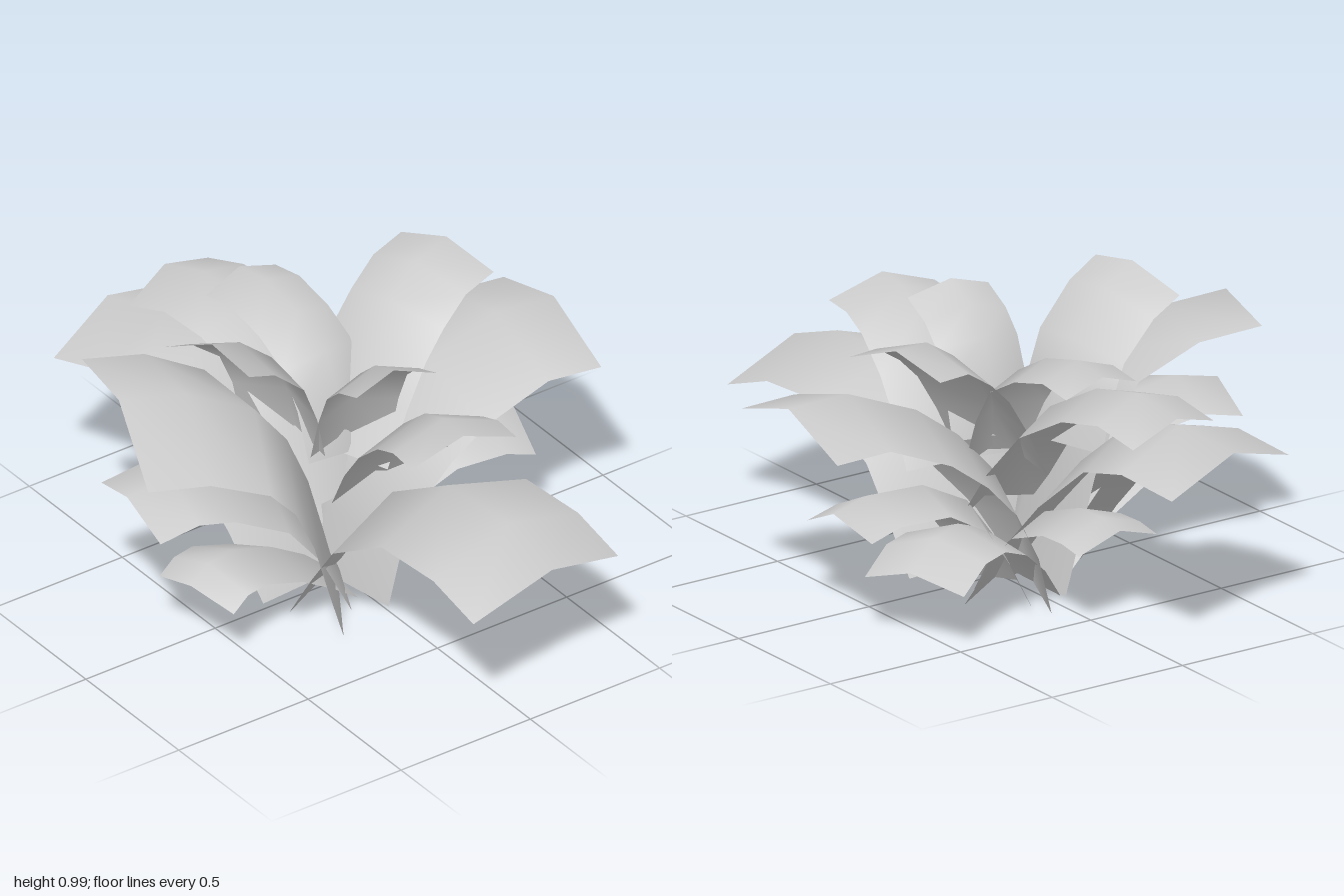
import * as THREE from 'three';

const material = new THREE.MeshStandardMaterial({ color: 0xcccccc, side: THREE.DoubleSide });

// Arching leaf: a bent strip with a raised midrib.
// angle: heading in degrees from +z towards +x; side: sideways shift; half: half width;
// roll: sideways lean; rib: midrib points [distance from the centre, height], base to tip
function makeLeaf(name, angle, side, half, roll, rib) {
  const fold = 0.06 + 0.3 * (half - 0.18);
  const positions = [];
  const index = [];
  rib.forEach(([r, y], i) => {
    const [ra, ya] = rib[Math.max(0, i - 1)];
    const [rb, yb] = rib[Math.min(rib.length - 1, i + 1)];
    const tangent = new THREE.Vector2(rb - ra, yb - ya).normalize();
    for (const s of [-1, 0, 1]) {
      // the two edges hang below the midrib
      const drop = s === 0 ? 0 : fold;
      const height = y - tangent.x * drop + s * roll * tangent.x;
      positions.push(side + s * half, Math.max(0.005, height), r + tangent.y * drop);
    }
    if (i < rib.length - 1) {
      for (const a of [i * 3, i * 3 + 1]) index.push(a, a + 3, a + 1, a + 1, a + 3, a + 4);
    }
  });
  const geometry = new THREE.BufferGeometry();
  geometry.setAttribute('position', new THREE.Float32BufferAttribute(positions, 3));
  geometry.setIndex(index);
  geometry.computeVertexNormals();
  const leaf = new THREE.Mesh(geometry, material);
  leaf.name = name;
  leaf.rotation.y = THREE.MathUtils.degToRad(angle);
  return leaf;
}

export function createModel() {
  const group = new THREE.Group();
  group.name = 'leafyPlant';
  const add = (...leaf) => group.add(makeLeaf(...leaf));

  // front
  add('frontLargeLeaf', 5, 0, 0.3, 0,
    [[0, 0.09], [0.11, 0.27], [0.23, 0.44], [0.5, 0.6], [0.79, 0.6], [1, 0.53]]);
  add('frontMiddleLeaf', -6, 0.09, 0.19, 0,
    [[0.04, 0.4], [0.12, 0.55], [0.22, 0.68], [0.35, 0.79], [0.47, 0.84], [0.595, 0.845]]);
  add('frontTopLeaf', -6, 0.03, 0.145, 0,
    [[-0.06, 0.5], [-0.01, 0.66], [0.05, 0.79], [0.14, 0.87], [0.26, 0.92]]);

  // back
  add('backTopLeaf', 183, -0.05, 0.14, 0,
    [[0.02, 0.45], [0.08, 0.62], [0.16, 0.75], [0.3, 0.83], [0.46, 0.87], [0.59, 0.85]]);
  add('backMiddleLeaf', 192, -0.09, 0.185, 0,
    [[0.02, 0.3], [0.15, 0.5], [0.3, 0.67], [0.5, 0.78], [0.68, 0.81], [0.845, 0.765]]);
  add('backLargeLeaf', 194, 0, 0.28, 0,
    [[0.02, 0.03], [0.17, 0.27], [0.34, 0.47], [0.55, 0.65], [0.75, 0.69], [0.975, 0.65]]);
  add('backLowLeaf', 185, 0, 0.16, 0,
    [[0.02, 0.04], [0.1, 0.17], [0.22, 0.28], [0.39, 0.34], [0.5, 0.34], [0.59, 0.32]]);

  // the model's right (-x)
  add('rightTopLeaf', 282, -0.19, 0.18, 0.025,
    [[0.02, 0.5], [0.06, 0.66], [0.13, 0.81], [0.28, 0.94], [0.41, 0.995]]);
  add('rightLargeLeaf', 255, 0.02, 0.295, -0.07,
    [[0.03, 0.02], [0.08, 0.22], [0.13, 0.41], [0.2, 0.58], [0.31, 0.72], [0.54, 0.83], [0.765, 0.86]]);
  add('rightMiddleLeaf', 262, 0, 0.2, 0,
    [[0.02, 0.05], [0.13, 0.27], [0.26, 0.43], [0.47, 0.54], [0.62, 0.57], [0.77, 0.54]]);
  add('rightLowLeaf', 281, -0.05, 0.16, 0,
    [[0.02, 0.03], [0.13, 0.13], [0.28, 0.23], [0.46, 0.305], [0.57, 0.305], [0.65, 0.26]]);

  // the model's left (+x)
  add('leftTopLeaf', 106, 0.07, 0.185, 0,
    [[0.02, 0.45], [0.12, 0.62], [0.22, 0.76], [0.32, 0.85], [0.45, 0.93], [0.605, 0.945]]);
  add('leftLargeLeaf', 85, 0.085, 0.3, 0,
    [[-0.06, 0.02], [-0.01, 0.23], [0.08, 0.41], [0.2, 0.54], [0.35, 0.65], [0.6, 0.75], [0.815, 0.74]]);
  add('leftMiddleLeaf', 84, 0.15, 0.21, 0.03,
    [[0.02, 0.04], [0.1, 0.2], [0.2, 0.34], [0.36, 0.42], [0.56, 0.42], [0.68, 0.38]]);
  add('leftLowLeaf', 115, 0.08, 0.18, 0,
    [[0.02, 0.03], [0.12, 0.16], [0.25, 0.26], [0.4, 0.32], [0.55, 0.32], [0.7, 0.25]]);
  return group;
}
